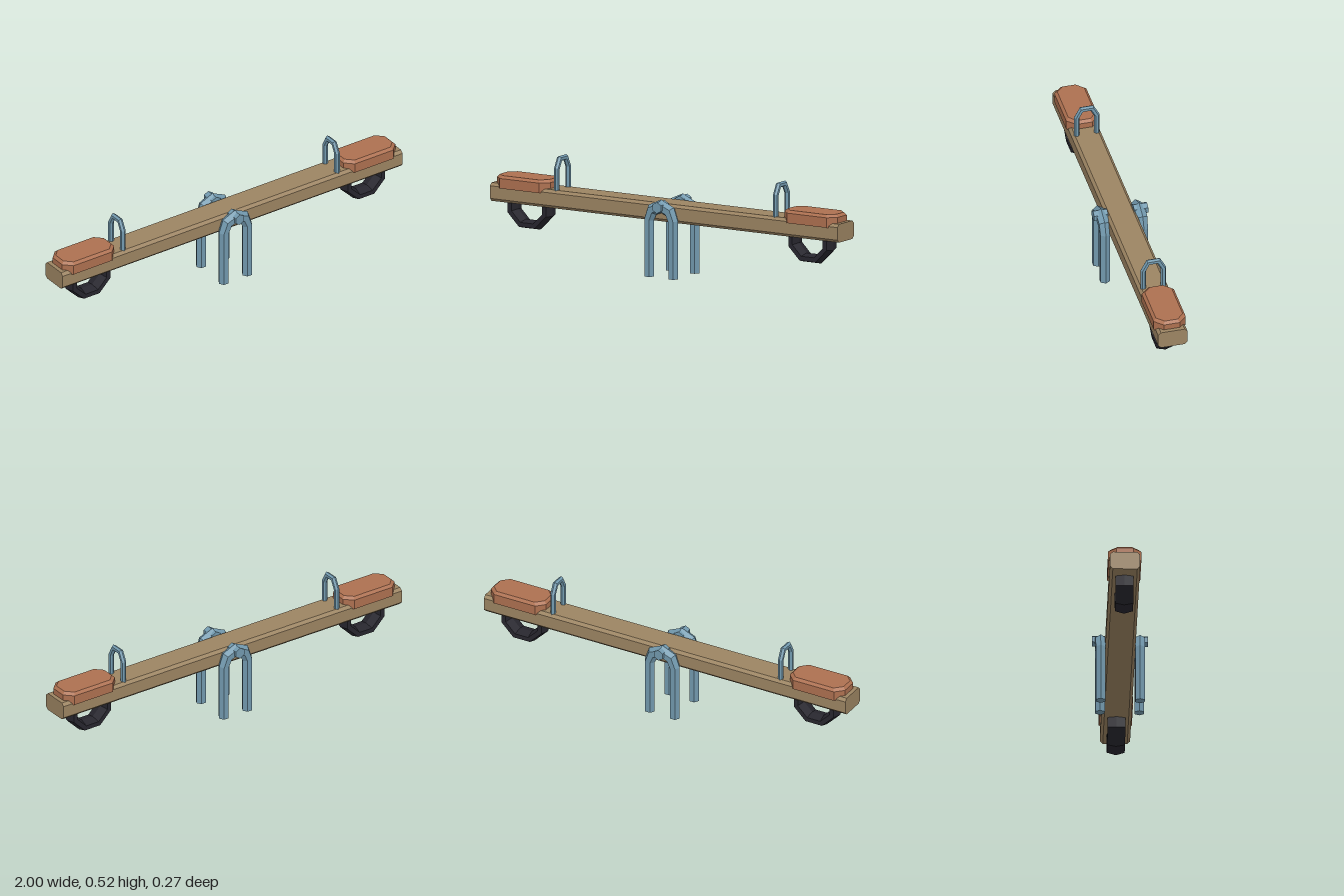
import * as THREE from 'three';

const paint = (name, color) => {
  const m = new THREE.MeshStandardMaterial({ color, flatShading: true });
  m.name = name;
  return m;
};

// Skin a stack of rings; each ring runs counter-clockwise seen from the far end
function loft(rings) {
  const n = rings[0].length, index = [], last = (rings.length - 1) * n;
  for (let i = 0; i < rings.length - 1; i++) {
    for (let j = 0; j < n; j++) {
      const a = i * n + j, b = i * n + (j + 1) % n;
      index.push(a, b, b + n, a, b + n, a + n);
    }
  }
  for (let j = 1; j < n - 1; j++) index.push(0, j + 1, j, last, last + j, last + j + 1);
  const g = new THREE.BufferGeometry();
  g.setAttribute('position', new THREE.Float32BufferAttribute(rings.flat(2), 3));
  g.setIndex(index);
  const flat = g.toNonIndexed();
  flat.computeVertexNormals();
  return flat;
}

// Rectangle with cut corners, lying flat at height y
function cutRect(hx, hz, c, y) {
  const x = hx - c, z = hz - c;
  return [[hx, z], [hx, -z], [x, -hz], [-x, -hz], [-hx, -z], [-hx, z], [-x, hz], [x, hz]]
    .map(([px, pz]) => [px, y, pz]);
}

// Six-sided bent pipe along a path in the xy plane, points as [x, y, radius]
function pipe(path) {
  const dir = (a, b) => new THREE.Vector2(b[0] - a[0], b[1] - a[1]).normalize();
  return loft(path.map((p, i) => {
    const t1 = i < path.length - 1 ? dir(p, path[i + 1]) : dir(path[i - 1], p);
    const t0 = i > 0 ? dir(path[i - 1], p) : t1;
    const t = t0.clone().add(t1).normalize();
    const mitre = 1 / t.dot(t0);
    return Array.from({ length: 6 }, (_, k) => {
      const a = k * Math.PI / 3, u = Math.cos(a) * p[2] * mitre;
      return [p[0] + t.y * u, p[1] - t.x * u, -Math.sin(a) * p[2]];
    });
  }));
}

// Complete a half path (from +x up to the middle) by mirroring it
const mirrored = (half) => [
  ...half,
  ...half.filter((p) => p[0] > 0).reverse().map(([x, y, r]) => [-x, y, r]),
];

export function createModel() {
  const model = new THREE.Group();
  model.name = 'seesaw';
  const wood = paint('wood', 0x9c8462);
  const seatPaint = paint('seat paint', 0xad7050);
  const steel = paint('painted steel', 0x7299ae);
  const rubber = paint('rubber', 0x27262e);

  const add = (name, geometry, material, x = 0, y = 0, z = 0) => {
    const mesh = new THREE.Mesh(geometry, material);
    mesh.name = name;
    mesh.position.set(x, y, z);
    model.add(mesh);
    return mesh;
  };

  // Plank with chamfered long edges
  const plank = loft([cutRect(0.045, 0.073, 0.014, -1), cutRect(0.045, 0.073, 0.014, 1)]);
  plank.rotateZ(Math.PI / 2);
  add('plank', plank, wood, 0, 0.313, 0);

  const seat = loft([
    cutRect(0.153, 0.08, 0.04, 0.338),
    cutRect(0.153, 0.08, 0.04, 0.387),
    cutRect(0.14, 0.067, 0.035, 0.4),
  ]);

  const handle = pipe(mirrored([
    [0.05, 0.33, 0.0135], [0.05, 0.462, 0.0135], [0.026, 0.507, 0.0135],
  ]));
  handle.rotateY(Math.PI / 2);

  // Lower part of an eight-sided tyre, its ends hidden in the plank
  const section = Array.from({ length: 7 }, (_, k) => {
    const a = k * Math.PI / 3;
    return new THREE.Vector2(0.107 + 0.024 * Math.cos(a), 0.05 * Math.sin(a));
  });
  const tyre = new THREE.LatheGeometry(section, 5, -Math.PI * 0.625, Math.PI * 1.25);
  tyre.rotateX(Math.PI / 2);

  for (const [side, s] of [['left', 1], ['right', -1]]) {
    add(side + ' seat', seat, seatPaint, s * 0.827, 0, 0);
    add(side + ' handle', handle, steel, s * 0.63, 0, 0);
    add(side + ' bumper tyre', tyre, rubber, s * 0.808, 0.263, 0);
  }

  // Arched supports either side of the plank, each with a pivot bolt
  const support = pipe(mirrored([
    [0.069, 0, 0.0265], [0.069, 0.28, 0.0265], [0.05, 0.328, 0.029], [0, 0.349, 0.031],
  ]));
  const bolt = new THREE.CylinderGeometry(0.028, 0.028, 0.07, 6);
  bolt.rotateX(Math.PI / 2);
  for (const [side, s] of [['front', 1], ['back', -1]]) {
    add(side + ' support', support, steel, 0, 0, s * 0.095);
    add(side + ' pivot bolt', bolt, steel, 0, 0.347, s * 0.1);
  }
  return model;
}
